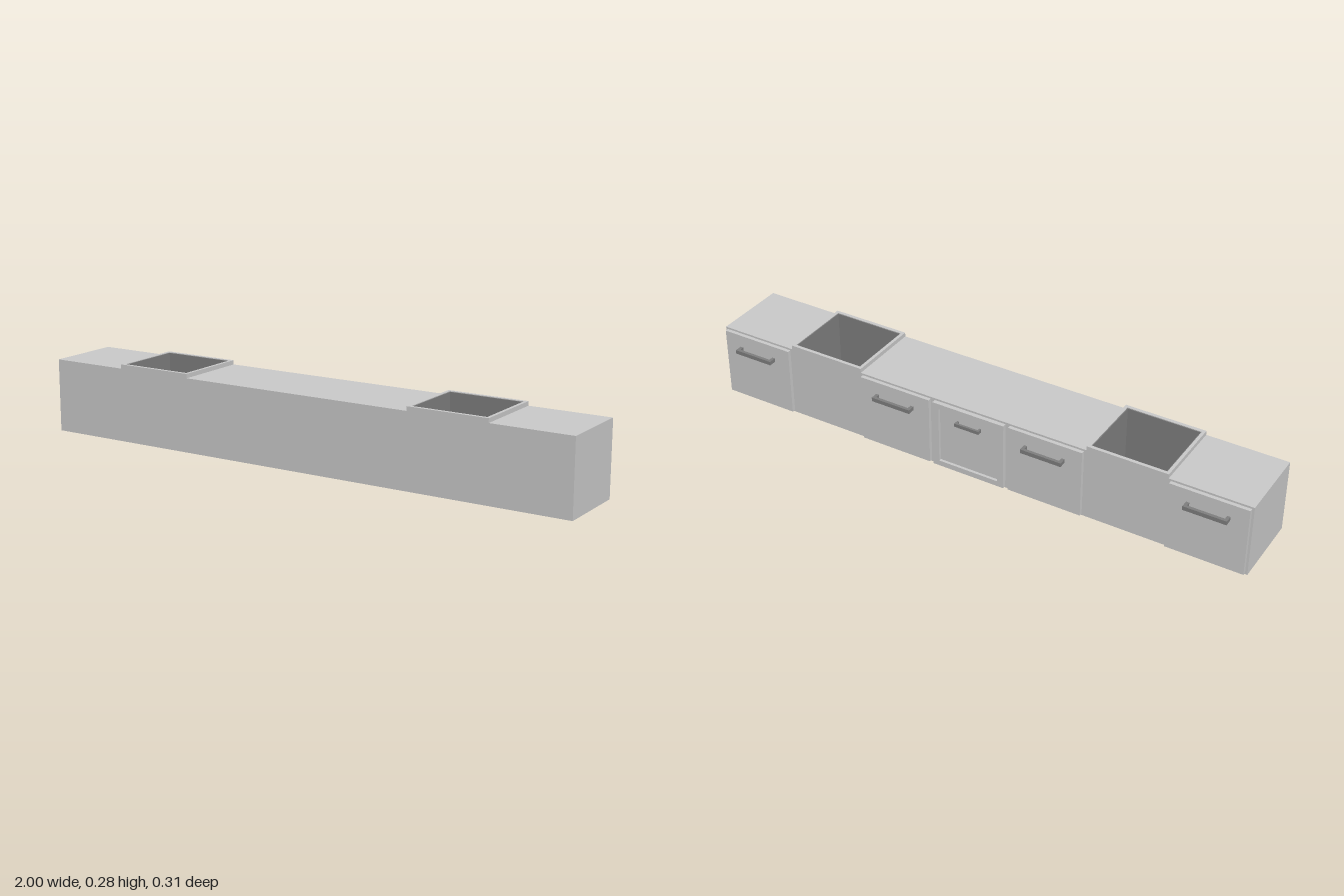
import * as THREE from 'three';

const UNIT = 2 / 7;            // seven equal cabinet units
const BACK = -0.115, FRONT = 0.155, TOP = 0.26, RIM = 0.275;
const grey = new THREE.MeshStandardMaterial({ color: 0xcccccc });
const dark = new THREE.MeshStandardMaterial({ color: 0x808080 });

// Box given by its minimum and maximum corners
function box(name, [x0, y0, z0], [x1, y1, z1], material = grey) {
  const mesh = new THREE.Mesh(new THREE.BoxGeometry(x1 - x0, y1 - y0, z1 - z0), material);
  mesh.position.set((x0 + x1) / 2, (y0 + y1) / 2, (z0 + z1) / 2);
  mesh.name = name;
  return mesh;
}

// Rectangular frame: outer and inner rectangle, extruded along +z
function frameGeometry(w, h, iw, ih, depth) {
  const rect = (Type, a, b) => new Type([[-a, -b], [a, -b], [a, b], [-a, b]]
    .map(([x, y]) => new THREE.Vector2(x / 2, y / 2)));
  const shape = rect(THREE.Shape, w, h);
  shape.holes.push(rect(THREE.Path, iw, ih));
  return new THREE.ExtrudeGeometry(shape, { depth, bevelEnabled: false });
}

// Bar handle on two posts
function handle(x, halfWidth, y, halfHeight, zDoor, zOut, bar) {
  const g = new THREE.Group();
  g.name = 'handle';
  g.add(box('handleBar', [x - halfWidth, y - halfHeight, zOut],
    [x + halfWidth, y + halfHeight, zOut + bar], dark));
  for (const s of [-1, 1]) {
    const c = x + s * (halfWidth - bar / 2);
    g.add(box('handlePost', [c - bar / 2, y - halfHeight, zOut + bar],
      [c + bar / 2, y + halfHeight, zDoor], dark));
  }
  return g;
}

// Open basin with a raised rim and a dark lining
function basin(x) {
  const g = new THREE.Group();
  g.name = 'basin';
  const depth = FRONT - BACK, zc = (FRONT + BACK) / 2;
  const iw = UNIT - 0.022, id = depth - 0.024, floor = 0.012;
  const walls = new THREE.Mesh(frameGeometry(UNIT, depth, iw, id, RIM), grey);
  walls.rotation.x = -Math.PI / 2;
  walls.position.set(x, 0, zc);
  walls.name = 'basinWalls';
  const lining = new THREE.Mesh(frameGeometry(iw, id, iw - 0.006, id - 0.006, RIM - 0.002 - floor), dark);
  lining.rotation.x = -Math.PI / 2;
  lining.position.set(x, floor, zc);
  lining.name = 'basinLining';
  g.add(walls, lining);
  g.add(box('basinBase', [x - iw / 2, 0, zc - id / 2], [x + iw / 2, floor - 0.002, zc + id / 2]));
  g.add(box('basinFloor', [x - iw / 2, floor - 0.002, zc - id / 2], [x + iw / 2, floor, zc + id / 2], dark));
  return g;
}

export function createModel() {
  const model = new THREE.Group();
  model.name = 'counter';

  // Solid cabinet bodies between the basins
  for (const [a, b] of [[-3.5, -2.5], [-1.5, 1.5], [2.5, 3.5]]) {
    model.add(box('cabinetBody', [a * UNIT, 0, BACK], [b * UNIT, TOP, FRONT]));
  }

  // Basins
  for (const s of [-1, 1]) model.add(basin(s * 2 * UNIT));

  // Plain doors with wide handles
  const half = 0.135, y0 = 0.006, y1 = 0.253;
  for (const i of [-3, -1, 1, 3]) {
    const x = i * UNIT;
    model.add(box('door', [x - half, y0, -0.128], [x + half, y1, BACK]));
    model.add(handle(x, 0.074, 0.2, 0.007, -0.128, -0.155, 0.011));
  }

  // Middle door: raised frame around a recessed panel, with a small handle
  const frame = new THREE.Mesh(frameGeometry(2 * half, y1 - y0, 0.224, 0.208, 0.015), grey);
  frame.position.set(0, (y0 + y1) / 2, -0.13);
  frame.name = 'middleDoorFrame';
  model.add(frame);
  model.add(box('middleDoorPanel', [-0.112, 0.025, -0.12], [0.112, 0.234, BACK]));
  model.add(handle(0, 0.046, 0.198, 0.006, -0.12, -0.138, 0.008));

  return model;
}
